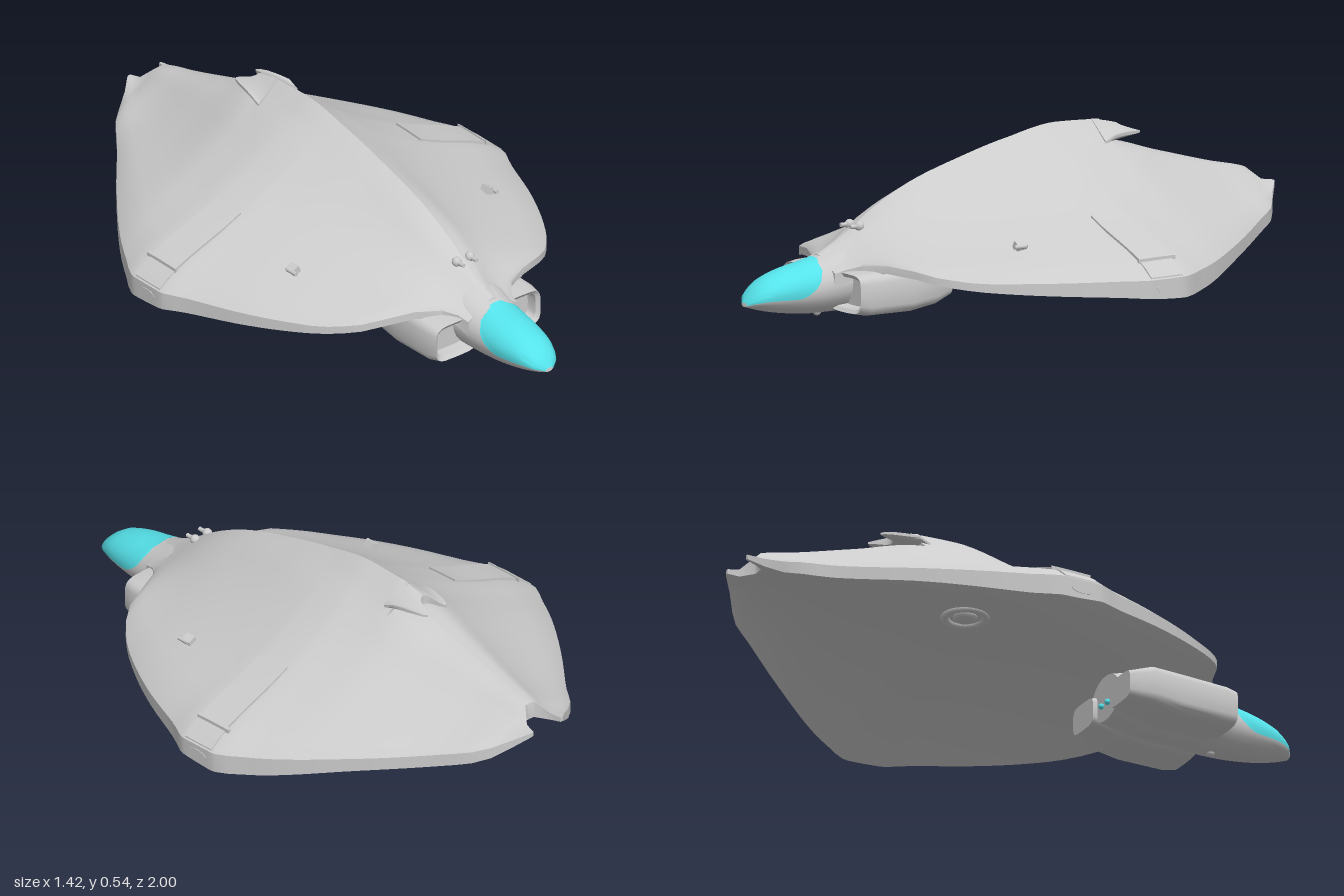
import * as THREE from 'three';
import { toCreasedNormals } from 'three/addons/utils/BufferGeometryUtils.js';

const grey = new THREE.MeshStandardMaterial({ color: 0xcccccc, side: THREE.DoubleSide });
const cyan = new THREE.MeshStandardMaterial({ color: 0x55e2ea, side: THREE.DoubleSide });

// Monotone smooth interpolation through [position, value] keys in rising order
function at(keys, z) {
  const n = keys.length - 1;
  if (z <= keys[0][0]) return keys[0][1];
  if (z >= keys[n][0]) return keys[n][1];
  const slope = i => (keys[i + 1][1] - keys[i][1]) / (keys[i + 1][0] - keys[i][0]);
  const tangent = i => {
    if (i === 0) return slope(0);
    if (i === n) return slope(n - 1);
    const a = slope(i - 1), b = slope(i);
    return a * b <= 0 ? 0 : 2 * a * b / (a + b);
  };
  let i = 0;
  while (keys[i + 1][0] < z) i++;
  const h = keys[i + 1][0] - keys[i][0], t = (z - keys[i][0]) / h, s = 1 - t;
  return keys[i][1] * (1 + 2 * t) * s * s + keys[i + 1][1] * t * t * (3 - 2 * t)
    + h * (tangent(i) * t * s * s - tangent(i + 1) * t * t * s);
}

// Skin over rings of [x, y, z], ordered from front to back, counterclockwise from the front
function loft(rings, closed = true, crease = 0.6) {
  const pos = [], index = [], m = rings[0].length;
  rings.forEach(r => r.forEach(p => pos.push(...p)));
  for (let i = 0; i < rings.length - 1; i++)
    for (let j = 0; j < (closed ? m : m - 1); j++) {
      const k = (j + 1) % m, a = i * m + j, b = i * m + k;
      index.push(a, a + m, b, b, a + m, b + m);
    }
  if (closed) [0, rings.length - 1].forEach((ri, end) => {
    const c = pos.length / 3;
    pos.push(...[0, 1, 2].map(k => rings[ri].reduce((s, p) => s + p[k], 0) / m));
    for (let j = 0; j < m; j++) {
      const a = ri * m + j, b = ri * m + (j + 1) % m;
      index.push(c, end ? b : a, end ? a : b);
    }
  });
  const g = new THREE.BufferGeometry();
  g.setAttribute('position', new THREE.Float32BufferAttribute(pos, 3));
  g.setIndex(index);
  return toCreasedNormals(g, crease);
}

// Wing plan and heights along z
const halfWidth = [[-1, .07], [-.94, .14], [-.9, .2], [-.8, .28], [-.6, .45], [-.4, .6], [-.3, .66], [-.2, .71],
  [-.08, .71], [0, .675], [.2, .595], [.4, .485], [.5, .405], [.56, .33], [.6, .23], [.63, .165], [.66, .12], [.72, .1]];
const shoulder = [[-1, .3], [-.92, .335], [-.8, .36], [-.6, .41], [-.37, .465], [-.2, .468], [0, .445], [.2, .4],
  [.4, .345], [.5, .305], [.6, .25], [.72, .19]];
const crestKeys = [[-.37, .065], [-.2, .067], [0, .055], [.3, .045], [.5, .025], [.65, .01]];
const rimTop = [[-1, .29], [-.9, .235], [-.6, .18], [-.2, .137], [0, .135], [.4, .138], [.52, .155], [.6, .18], [.72, .15]];
const rimBottom = [[-1, .275], [-.9, .195], [-.6, .135], [-.2, .07], [0, .082], [.4, .11], [.52, .13], [.6, .155], [.72, .1]];
const hollow = [[-1, .28], [-.8, .275], [-.5, .28], [-.2, .29], [0, .28], [.3, .24], [.5, .2], [.6, .165], [.72, .1]];
const slopeKeys = [[0, 1.02], [.11, 1], [.28, .77], [.56, .45], [.92, .13], [1, 0]];
const notch = [[-1, .06], [-.96, .05], [-.93, .035], [-.921, .018]];

function topY(x, z) {
  const r = at(rimTop, z), ax = Math.abs(x);
  const crest = z < -.37005 ? 0 : at(crestKeys, z) * Math.max(0, 1 - ax / .085);
  return r + (at(shoulder, z) - r) * at(slopeKeys, ax / at(halfWidth, z)) + crest;
}
function underY(x, z) {
  const r = at(rimBottom, z), u = Math.abs(x) / at(halfWidth, z);
  return r + (at(hollow, z) - r) * (1 - u * u);
}

function wingHalf(side) {
  const zs = [-.08, -.2, -.3701, -.37, -.92, -.921];
  for (let i = 0; i <= 44; i++) zs.push(.72 - 1.72 * i / 44);
  zs.sort((a, b) => b - a);
  const cols = [0, .03, .06, .1, .16, .25, .37, .5, .65, .8, .92, 1];
  return loft(zs.map(z => {
    const inner = z > -.9205 ? 0 : at(notch, z), w = at(halfWidth, z);
    const xs = cols.map(u => inner + (w - inner) * u);
    const ring = [...xs.map(x => [side * x, underY(x, z), z]),
      ...xs.reverse().map(x => [side * x, topY(x, z), z])];
    return side > 0 ? ring : ring.reverse();
  }));
}

// Forebody: half width, bottom and top along z
const noseW = [[.34, .09], [.5, .12], [.66, .108], [.75, .097], [.85, .087], [.93, .07], [.98, .045], [1, .015]];
const noseLow = [[.34, .045], [.5, .02], [.75, .015], [.85, .023], [.93, .037], [1, .056]];
const noseHigh = [[.34, .2], [.55, .25], [.66, .22], [.75, .188], [.85, .167], [.93, .14], [.98, .1], [1, .07]];
const glassEdge = [[.735, 1.35], [.75, .75], [.78, .15], [.85, -.25], [1, -.2]];

function noseRing(z, from, to, n, grow = 1) {
  const w = at(noseW, z), lo = at(noseLow, z), hi = at(noseHigh, z), ring = [];
  for (let j = 0; j < n; j++) {
    const t = from + (to - from) * j / (n - 1);
    ring.push([w * grow * Math.cos(t), (lo + hi) / 2 + (hi - lo) / 2 * grow * Math.sin(t), z]);
  }
  return ring;
}

// Rounded box section
function podRing(cx, z, hw, lo, hi) {
  const ring = [], soft = v => Math.sign(v) * Math.pow(Math.abs(v), .45);
  for (let j = 0; j < 24; j++) {
    const t = j / 24 * Math.PI * 2;
    ring.push([cx + hw * soft(Math.cos(t)), (lo + hi) / 2 + (hi - lo) / 2 * soft(Math.sin(t)), z]);
  }
  return ring;
}

// Box whose vertices are moved by a rule of x, y, z in -0.5..0.5
function bentBox(nx, nz, rule) {
  const g = new THREE.BoxGeometry(1, 1, 1, nx, 1, nz), p = g.attributes.position;
  for (let i = 0; i < p.count; i++) p.setXYZ(i, ...rule(p.getX(i), p.getY(i), p.getZ(i)));
  return toCreasedNormals(g, .6);
}

export function createModel() {
  const model = new THREE.Group();
  const add = (name, geometry, material = grey, x = 0, y = 0, z = 0) => {
    const mesh = new THREE.Mesh(geometry, material);
    mesh.name = name;
    mesh.position.set(x, y, z);
    model.add(mesh);
    return mesh;
  };

  // Nose and glazed canopy
  const stations = (a, b, n) => Array.from({ length: n + 1 }, (_, i) => a + (b - a) * i / n);
  add('nose', loft([1, .993, .98, .96, ...stations(.93, .34, 14)].map(z => noseRing(z, 0, Math.PI * 2 * 23 / 24, 24))));
  add('canopy', loft([1.001, .993, .98, .96, ...stations(.93, .735, 12)].map(z => {
    const e = at(glassEdge, z);
    return noseRing(z, e, Math.PI - e, 17, 1.025);
  }), false, 1), cyan);

  // Forked fin overhanging the back of the crest
  const finEnd = [[0, -.435], [.015, -.44], [.04, -.5], [.05, -.49], [.08, -.38]];
  add('forkedFin', bentBox(16, 6, (x, y, z) => {
    const px = x * .16, t = .5 - z, pz = -.34 + (at(finEnd, Math.abs(px)) + .34) * t;
    const high = at([[-.5, .492], [-.44, .515], [-.34, .537]], pz);
    const low = .466 + .02 * t;
    return [px, y > 0 ? low + .003 + (high - low) * (1 - Math.abs(x) * 1.8) : low, pz];
  }));

  for (const s of [1, -1]) {
    const side = s > 0 ? 'left' : 'right';
    add(side + 'Wing', wingHalf(s));

    // Raised panel across the wing, with a bar near the tip
    const strip = (name, x0, x1, z0, z1, h, n) => add(side + name, bentBox(n, 2, (x, y, z) => {
      const px = s * (x0 + x1) / 2 + x * (x1 - x0), pz = (z0 + z1) / 2 + z * (z1 - z0);
      return [px, topY(px, pz) + (y > 0 ? h : -.015), pz];
    }));
    strip('WingPanel', .37, .64, -.2, -.08, .008, 8);
    strip('TipPanel', .645, .705, -.2, -.08, .004, 2);
    strip('PanelBar', .636, .644, -.215, -.075, .013, 1);

    // Round plate on the wing tip
    const plate = add(side + 'TipPlate', new THREE.CylinderGeometry(.04, .04, .004, 20), grey, s * .71, .105, -.14);
    plate.rotation.z = Math.PI / 2;
    plate.scale.x = .4;

    // Belly pod with a recessed intake
    const cx = s * .13;
    add(side + 'Pod', loft([
      podRing(cx, .655, .07, .045, .135), podRing(cx, .69, .073, .04, .14), podRing(cx, .7, .085, .028, .153),
      podRing(cx, .66, .094, .02, .158), podRing(cx, .5, .095, .02, .165), podRing(cx, .4, .09, .035, .17),
      podRing(cx - s * .01, .325, .065, .055, .15),
    ]));
    add(side + 'ExhaustLight', new THREE.SphereGeometry(.01, 10, 8), cyan, s * .02, .1, .335);

    // Wing sensor mount and small forward gun
    const y = topY(.4, .22);
    add(side + 'GunMount', new THREE.BoxGeometry(.03, .03, .035), grey, s * .4, y + .005, .215).rotation.z = -s * .45;
    const gun = add(side + 'GunBarrel', new THREE.CylinderGeometry(.007, .007, .045, 10), grey, s * .415, y + .008, .225);
    gun.rotation.x = Math.PI / 2;
    const ny = topY(.027, .58);
    add(side + 'NoseGunHousing', new THREE.SphereGeometry(.016, 12, 8), grey, s * .027, ny + .008, .575);
    const barrel = add(side + 'NoseGun', new THREE.CylinderGeometry(.007, .007, .04, 10), grey, s * .027, ny + .008, .59);
    barrel.rotation.x = Math.PI / 2;
  }

  // Round port in the hollow underside
  const py = underY(0, -.17);
  add('portRing', new THREE.TorusGeometry(.065, .014, 8, 28), grey, 0, py, -.17).rotation.x = Math.PI / 2;
  add('portDome', new THREE.SphereGeometry(.04, 16, 10), grey, 0, py, -.17).scale.y = .5;
  add('chinSensor', new THREE.SphereGeometry(.014, 10, 8), grey, 0, .018, .72);

  // Stand on the ground
  const box = new THREE.Box3().setFromObject(model);
  model.children.forEach(c => { c.position.y -= box.min.y; });
  return model;
}
